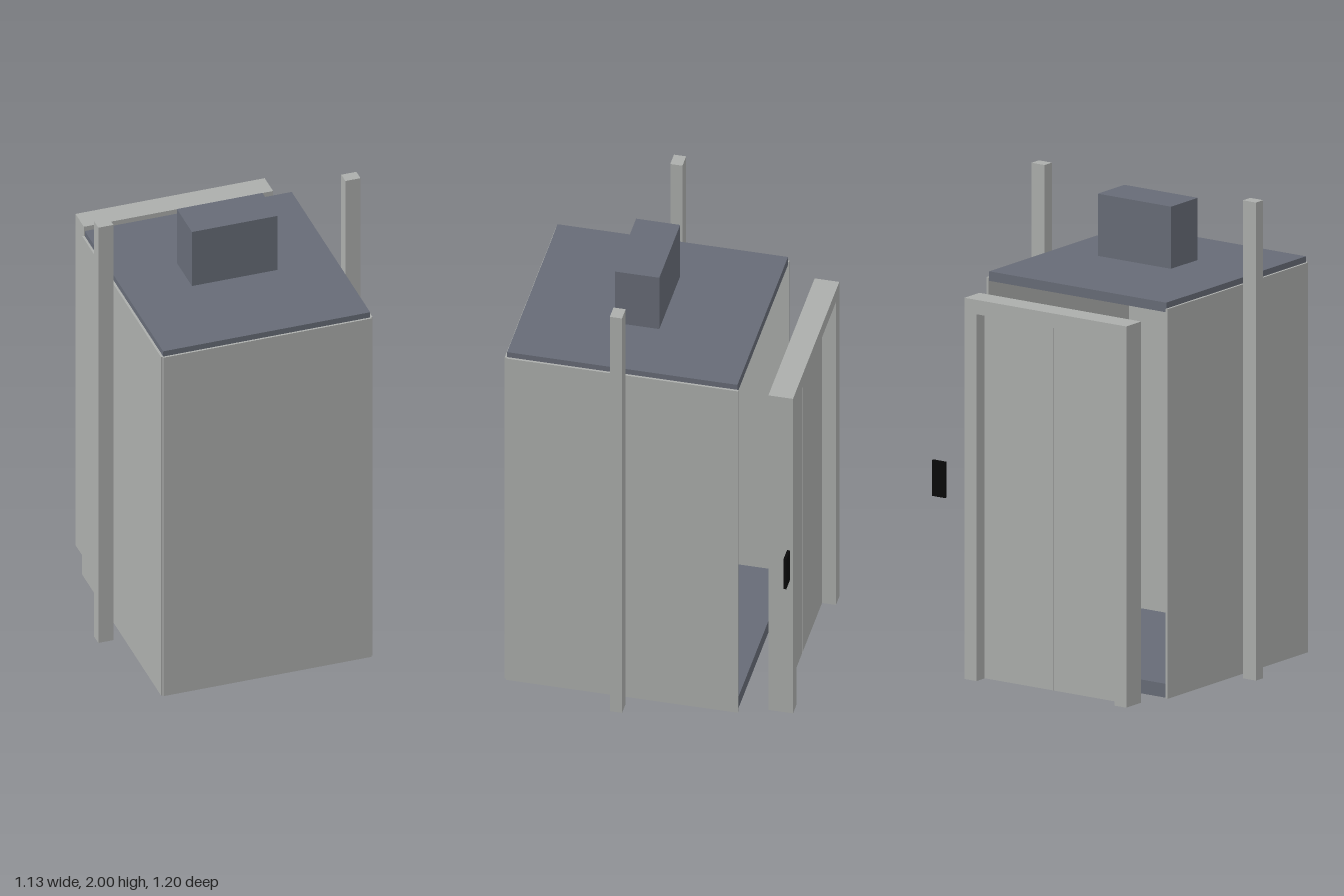
import * as THREE from 'three';

export function createModel() {
  const model = new THREE.Group();
  model.name = 'elevator';

  const material = (name, color) => {
    const m = new THREE.MeshStandardMaterial({ color });
    m.name = name;
    return m;
  };
  const steel = material('brushedSteel', 0xabadab);
  const slate = material('slateGrey', 0x666b76);
  const black = material('black', 0x0a0a0a);

  // Box given by its extents along each axis
  const box = (name, mat, [x0, x1], [y0, y1], [z0, z1], parent = model) => {
    const mesh = new THREE.Mesh(new THREE.BoxGeometry(x1 - x0, y1 - y0, z1 - z0), mat);
    mesh.position.set((x0 + x1) / 2, (y0 + y1) / 2, (z0 + z1) / 2);
    mesh.name = name;
    parent.add(mesh);
    return mesh;
  };
  // Extent on the left (+x) or right (-x) side
  const sided = (s, a, b) => (s > 0 ? [a, b] : [-b, -a]);

  // Cabin: floor, roof and three thin walls, open at the back
  const cabin = new THREE.Group();
  cabin.name = 'cabin';
  model.add(cabin);
  box('cabinFloor', slate, [-0.445, 0.445], [0.002, 0.06], [-0.37, 0.591], cabin);
  box('cabinRoof', slate, [-0.445, 0.445], [1.615, 1.655], [-0.37, 0.591], cabin);
  box('cabinFrontWall', steel, [-0.448, 0.448], [0, 1.63], [0.591, 0.6], cabin);

  // Landing door frame with two recessed sliding panels
  const door = new THREE.Group();
  door.name = 'landingDoor';
  model.add(door);
  box('doorLintel', steel, [-0.407, 0.407], [1.535, 1.595], [-0.593, -0.49], door);

  for (const s of [1, -1]) {
    const side = s > 0 ? 'left' : 'right';
    box(side + 'CabinWall', steel, sided(s, 0.445, 0.455), [0, 1.63], [-0.374, 0.592], cabin);
    box(side + 'GuideRail', steel, sided(s, 0.499, 0.564), [0, 2], [0.083, 0.134]);
    box(side + 'DoorJamb', steel, sided(s, 0.347, 0.407), [0, 1.535], [-0.593, -0.49], door);
    box(side + 'DoorPanel', steel, sided(s, 0.002, 0.347), [0, 1.535], [-0.535, -0.515], door);
  }

  // Hoist motor above the roof and call panel beside the door
  box('hoistMotor', slate, [-0.185, 0.183], [1.68, 1.94], [0.018, 0.202]);
  box('callPanel', black, [0.499, 0.564], [0.745, 0.895], [-0.602, -0.59]);

  return model;
}
